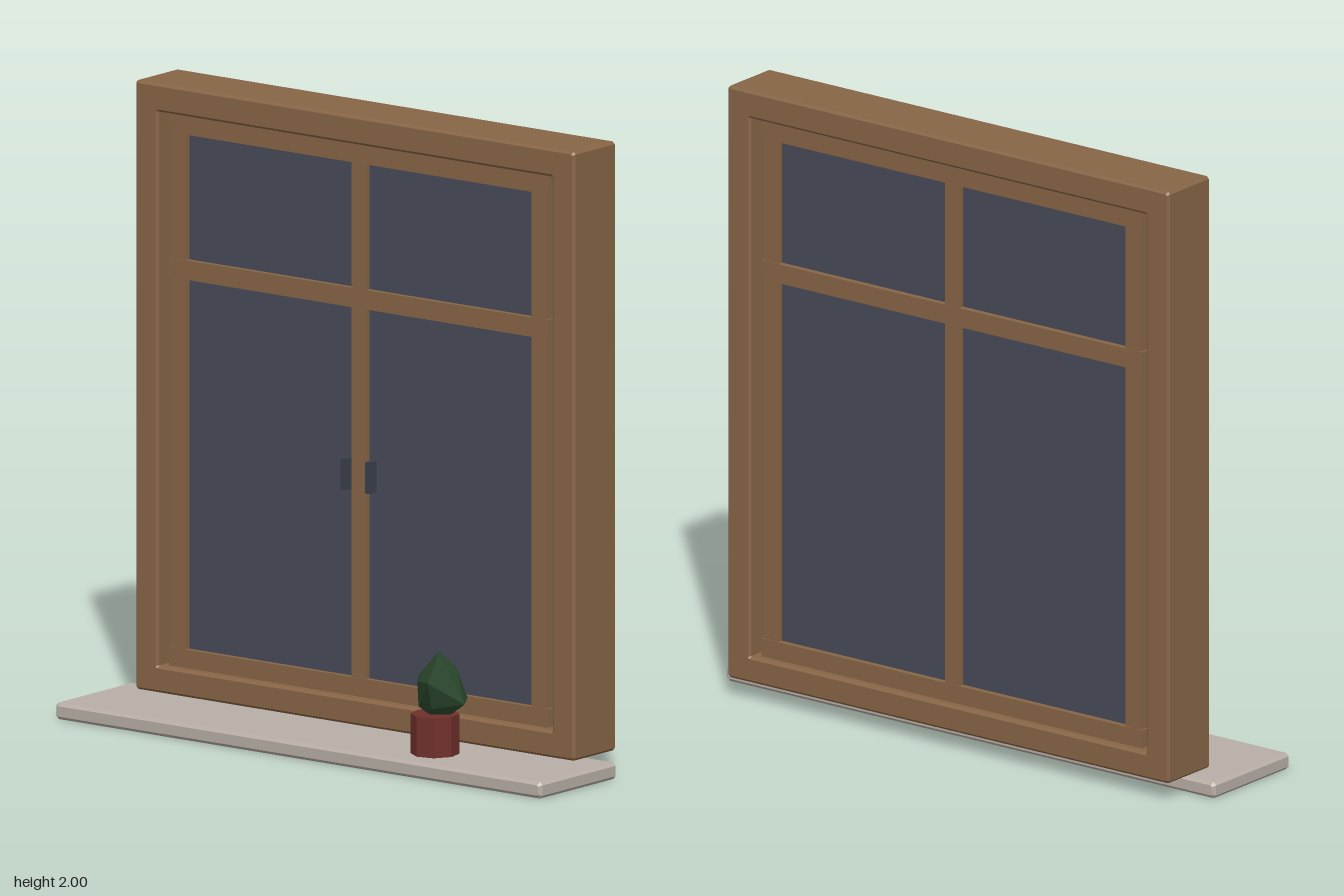
import * as THREE from 'three';
import { ConvexGeometry } from 'three/addons/geometries/ConvexGeometry.js';

const mat = (name, color, flatShading = false) => {
  const m = new THREE.MeshStandardMaterial({ color, flatShading });
  m.name = name;
  return m;
};

// Rectangle with clipped corners
function clippedRect(x0, x1, y0, y1, c, Type) {
  return new Type([
    [x0 + c, y0], [x1 - c, y0], [x1, y0 + c], [x1, y1 - c],
    [x1 - c, y1], [x0 + c, y1], [x0, y1 - c], [x0, y0 + c],
  ].map(([x, y]) => new THREE.Vector2(x, y)));
}

// Block with chamfered edges and an optional hole, between z0 and z1
function chamfered(shape, z0, z1, c) {
  const g = new THREE.ExtrudeGeometry(shape, {
    depth: z1 - z0 - 2 * c, bevelEnabled: true, bevelThickness: c,
    bevelSize: c, bevelOffset: -c, bevelSegments: 1,
  });
  return g.translate(0, 0, z0 + c);
}

export function createModel() {
  const wood = mat('wood', 0x876546);
  const glass = mat('glass', 0x474b58);
  const stone = mat('sill stone', 0xb8aea6);
  const metal = mat('handle metal', 0x3a3f4c);
  const clay = mat('pot clay', 0x70302a, true);
  const leaf = mat('leaf green', 0x2a472d, true);

  const model = new THREE.Group();
  model.name = 'window';
  const add = (name, geometry, material, parent = model) => {
    const mesh = new THREE.Mesh(geometry, material);
    mesh.name = name;
    parent.add(mesh);
    return mesh;
  };
  const box = (name, x0, x1, y0, y1, z0, z1, material, parent) => {
    const g = new THREE.BoxGeometry(x1 - x0, y1 - y0, z1 - z0);
    g.translate((x0 + x1) / 2, (y0 + y1) / 2, (z0 + z1) / 2);
    return add(name, g, material, parent);
  };

  // Outer frame
  const frame = clippedRect(-0.87, 0.87, 0.06, 2, 0.008, THREE.Shape);
  frame.holes.push(clippedRect(-0.78, 0.78, 0.145, 1.91, 0.001, THREE.Path));
  add('outerFrame', chamfered(frame, -0.25, -0.037, 0.008), wood);

  // Window sill
  add('sill', chamfered(clippedRect(-0.963, 0.963, 0, 0.053, 0.01, THREE.Shape), -0.138, 0.25, 0.01), stone);

  // Sash: rails run across, stiles and mullion run up
  const sash = new THREE.Group();
  sash.name = 'sash';
  model.add(sash);
  for (const [name, y0, y1] of [['bottomRail', 0.148, 0.207], ['middleRail', 1.385, 1.447], ['topRail', 1.847, 1.91]])
    box(name, -0.75, 0.75, y0, y1, -0.23, -0.057, wood, sash);
  for (const [name, x0, x1] of [['rightStile', -0.742, -0.684], ['mullion', -0.029, 0.029], ['leftStile', 0.684, 0.742]])
    box(name, x0, x1, 0.16, 1.9, -0.228, -0.059, wood, sash);

  // Panes
  for (const s of [-1, 1])
    for (const [name, y0, y1] of [['lowerPane', 0.207, 1.385], ['upperPane', 1.447, 1.847]])
      box(name, Math.min(s * 0.029, s * 0.684), Math.max(s * 0.029, s * 0.684), y0, y1, -0.21, -0.075, glass, sash);

  // Handles
  for (const s of [-1, 1])
    box('handle', s * 0.048 - 0.009, s * 0.048 + 0.009, 0.803, 0.903, -0.08, -0.04, metal);

  // Potted plant
  const plant = new THREE.Group();
  plant.name = 'pottedPlant';
  model.add(plant);
  const pot = add('pot', new THREE.CylinderGeometry(0.077, 0.077, 0.129, 8), clay, plant);
  pot.position.set(0.433, 0.1155, 0.108);
  pot.rotation.y = -0.167;
  const foliage = [
    [0.435, 0.375, 0.09], [0.474, 0.295, 0.197], [0.38, 0.28, 0.13], [0.338, 0.285, 0.067],
    [0.34, 0.24, 0.02], [0.484, 0.22, 0.008], [0.46, 0.325, 0.04], [0.526, 0.215, 0.078],
    [0.385, 0.2, 0.13], [0.46, 0.205, 0.16], [0.395, 0.175, 0.07], [0.475, 0.175, 0.09], [0.43, 0.175, 0.125],
  ];
  add('foliage', new ConvexGeometry(foliage.map((p) => new THREE.Vector3(...p))), leaf, plant);

  return model;
}
